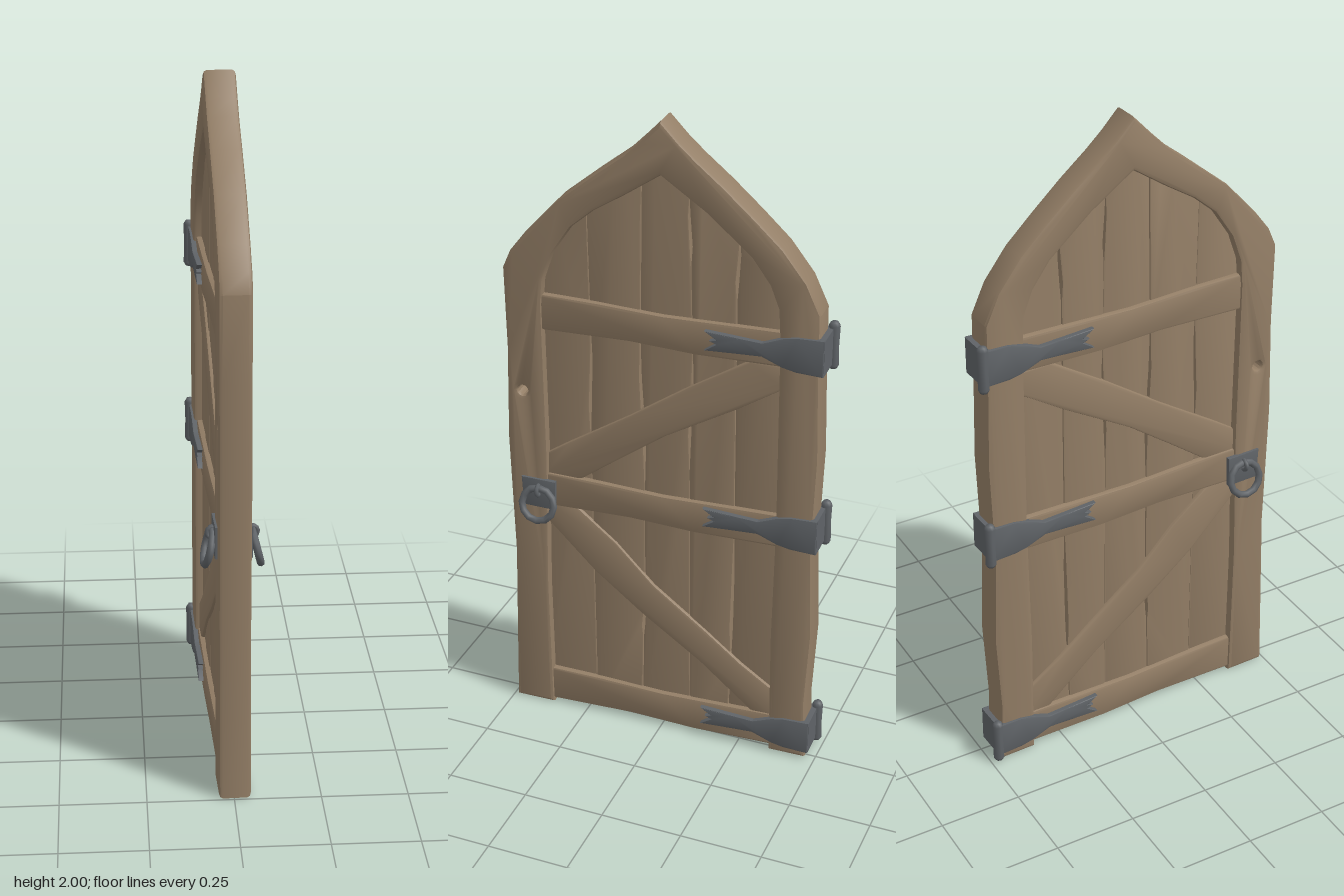
import * as THREE from 'three';
import { toCreasedNormals } from 'three/addons/utils/BufferGeometryUtils.js';

const wood = new THREE.MeshStandardMaterial({ name: 'weathered wood', color: 0x937e66 });
const iron = new THREE.MeshStandardMaterial({ name: 'dark iron', color: 0x5f6367 });

function addMesh(parent, name, geometry, material) {
  const mesh = new THREE.Mesh(geometry, material);
  mesh.name = name;
  parent.add(mesh);
  return mesh;
}

// Slab from an outline of [z, y] points, its thickness running along x and centred on x = 0
function slab(points, halfThickness, bevel, holes = []) {
  const shape = new THREE.Shape(points.map(([z, y]) => new THREE.Vector2(z, y)));
  shape.holes.push(...holes);
  const geometry = new THREE.ExtrudeGeometry(shape, {
    depth: 2 * (halfThickness - bevel), curveSegments: 6,
    bevelEnabled: true, bevelThickness: bevel, bevelSize: bevel, bevelOffset: -bevel, bevelSegments: 2,
  });
  geometry.translate(0, 0, -(halfThickness - bevel));
  geometry.rotateY(-Math.PI / 2);
  return toCreasedNormals(geometry, 0.5);
}

// Height of the plank tops, tucked under the pointed arch
const ARCH = [[0, 1.9], [0.15, 1.8], [0.26, 1.7], [0.36, 1.55], [0.41, 1.42]];
function archHeight(z) {
  const a = Math.abs(z);
  const i = Math.max(1, ARCH.findIndex(([az]) => a <= az));
  const [z0, y0] = ARCH[i - 1], [z1, y1] = ARCH[i];
  return y0 + (y1 - y0) * (a - z0) / (z1 - z0);
}

// Seams between planks: position and the [bottom, top] of each open crack
const SEAMS = [
  { z: -0.39, cracks: [] },
  { z: -0.215, cracks: [[0.28, 0.72], [1.5, 1.68]] },
  { z: -0.08, cracks: [[0.93, 1.31], [1.58, 1.78]] },
  { z: 0.065, cracks: [[0.31, 0.44], [0.86, 1.32]] },
  { z: 0.23, cracks: [[0.98, 1.33]] },
  { z: 0.4, cracks: [] },
];

// One edge of a plank, from bottom to top; side is +1 when the plank lies towards +z of the seam
function plankEdge({ z, cracks }, side) {
  const lean = y => z + 0.007 * Math.sin(y * 5 + z * 20);
  const points = [[lean(0.012), 0.012]];
  for (const [y0, y1] of cracks) {
    points.push([lean(y0), y0]);
    points.push([lean(y0) + side * 0.004, y0 + (y1 - y0) * 0.3]);
    points.push([lean(y1) + side * 0.003, y0 + (y1 - y0) * 0.75]);
    points.push([lean(y1), y1]);
  }
  points.push([z, archHeight(z)]);
  return points;
}

export function createModel() {
  const model = new THREE.Group();
  model.name = 'arched door';
  const door = new THREE.Group();
  door.name = 'doorLeaf';
  door.rotation.y = 0.031;
  door.position.x = -0.0125;
  model.add(door);

  // Pointed frame, open at the bottom, with a round keyhole
  const frameOutline = [
    [0.365, 0], [0.492, 0], [0.486, 0.25], [0.478, 0.55], [0.488, 0.95], [0.48, 1.25], [0.484, 1.5],
    [0.46, 1.555], [0.41, 1.62], [0.31, 1.73], [0.2, 1.82], [0.11, 1.89], [0.06, 1.94], [0.003, 2],
    [-0.05, 1.945], [-0.1, 1.9], [-0.18, 1.835], [-0.27, 1.755], [-0.35, 1.68], [-0.42, 1.59], [-0.462, 1.5],
    [-0.465, 1.3], [-0.472, 1.05], [-0.462, 0.75], [-0.473, 0.45], [-0.46, 0.2], [-0.466, 0],
    [-0.35, 0], [-0.346, 0.4], [-0.352, 0.8], [-0.348, 1.4],
    [-0.342, 1.5], [-0.315, 1.57], [-0.26, 1.645], [-0.13, 1.755], [0.003, 1.845],
    [0.11, 1.772], [0.2, 1.715], [0.27, 1.655], [0.33, 1.565], [0.36, 1.48], [0.367, 1.4],
    [0.362, 0.9], [0.37, 0.45],
  ];
  const keyhole = new THREE.Path().absarc(0.435, 1.112, 0.016, 0, Math.PI * 2);
  addMesh(door, 'frame', slab(frameOutline, 0.046, 0.011, [keyhole]), wood);

  // Vertical planks with cracks along their seams
  for (let i = 0; i < SEAMS.length - 1; i++) {
    const a = SEAMS[i], b = SEAMS[i + 1];
    const top = [];
    for (let k = 1; k < 4; k++) {
      let z = b.z + (a.z - b.z) * k / 4;
      if (Math.abs(z) < 0.02) z = 0;
      top.push([z, archHeight(z)]);
    }
    const outline = [...plankEdge(b, -1), ...top, ...plankEdge(a, 1).reverse()];
    addMesh(door, 'plank', slab(outline, 0.021 + 0.002 * (i % 2), 0.004), wood);
  }

  // Cross rails, slightly uneven
  for (const [y0, y1] of [[0.01, 0.128], [0.73, 0.842], [1.318, 1.432]]) {
    const outline = [
      [0.385, y0], [0.385, y1], [0.2, y1 - 0.002], [0, y1 - 0.01], [-0.2, y1 - 0.004], [-0.37, y1],
      [-0.37, y0 + 0.006], [-0.1, y0], [0.1, y0 + 0.008],
    ];
    addMesh(door, 'rail', slab(outline, 0.038, 0.007), wood);
  }

  // Diagonal braces running from the latch side to the hinge side
  const upperBrace = [
    [0.38, 0.83], [0.38, 0.9], [0.3, 0.955], [0.1, 1.085], [-0.08, 1.21], [-0.26, 1.325],
    [-0.365, 1.325], [-0.365, 1.255], [-0.22, 1.16], [0, 1.03], [0.15, 0.92], [0.27, 0.83],
  ];
  const lowerBrace = [
    [0.38, 0.74], [0.28, 0.74], [0.15, 0.635], [0.03, 0.51], [-0.14, 0.38], [-0.25, 0.29],
    [-0.365, 0.21], [-0.365, 0.12], [-0.29, 0.12], [-0.12, 0.265], [0.07, 0.4], [0.22, 0.52], [0.38, 0.68],
  ];
  addMesh(door, 'upperBrace', slab(upperBrace, 0.032, 0.007), wood);
  addMesh(door, 'lowerBrace', slab(lowerBrace, 0.032, 0.007), wood);

  // Hinges: forked straps on both faces, a plate around the edge and a pin
  const strapHalf = [[-0.478, 0.056], [-0.4, 0.053], [-0.36, 0.045], [-0.3, 0.021], [-0.24, 0.024], [-0.13, 0.03]];
  const strapOutline = [
    ...strapHalf, [-0.165, 0.008], [-0.145, 0.002], [-0.165, -0.006],
    ...strapHalf.map(([z, y]) => [z, -y]).reverse(),
  ];
  for (const y of [0.08, 0.798, 1.376]) {
    const hinge = new THREE.Group();
    hinge.name = 'hinge';
    hinge.position.y = y;
    door.add(hinge);
    for (const side of [-1, 1]) {
      addMesh(hinge, 'strap', slab(strapOutline, 0.009, 0.003), iron).position.x = side * 0.0445;
    }
    addMesh(hinge, 'edgePlate', new THREE.BoxGeometry(0.1, 0.11, 0.016), iron).position.z = -0.471;
    const pinProfile = [[0, -0.073], [0.011, -0.071], [0.017, -0.06], [0.015, 0], [0.017, 0.06], [0.011, 0.071], [0, 0.073]];
    const pin = new THREE.LatheGeometry(pinProfile.map(([r, h]) => new THREE.Vector2(r, h)), 8);
    addMesh(hinge, 'pin', pin, iron).position.set(-0.049, 0, -0.478);
  }

  // Ring handles on both faces
  for (const side of [-1, 1]) {
    const handle = new THREE.Group();
    handle.name = 'handle';
    handle.position.set(side * 0.046, 0.775, 0.39);
    door.add(handle);
    const plate = [[-0.052, -0.05], [0.05, -0.048], [0.055, 0.049], [-0.054, 0.047]];
    addMesh(handle, 'handlePlate', slab(plate, 0.007, 0.002), iron);
    const staple = new THREE.TorusGeometry(0.017, 0.007, 6, 10);
    addMesh(handle, 'staple', staple, iron).position.set(side * 0.008, 0.012, 0);
    const ring = new THREE.TorusGeometry(0.052, 0.011, 8, 12);
    ring.rotateY(Math.PI / 2);
    const ringMesh = addMesh(handle, 'ring', ring, iron);
    ringMesh.position.set(side * 0.021, -0.031, -0.002);
    ringMesh.rotation.z = side * 0.24;
  }
  return model;
}
